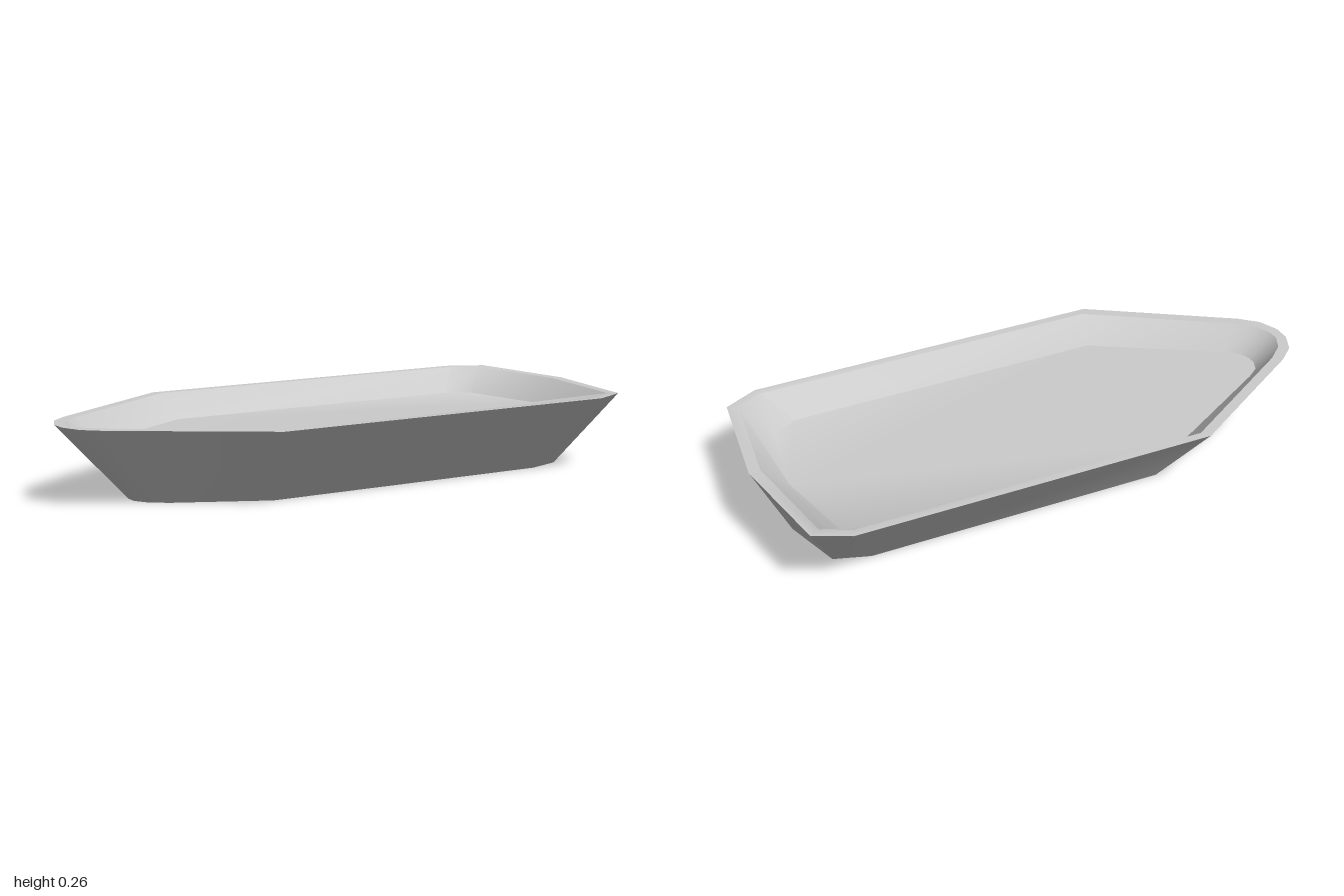
import * as THREE from 'three';
import { toCreasedNormals } from 'three/addons/utils/BufferGeometryUtils.js';

// Half outlines (x, z) run from the blunt end's centre to the narrow nose
const outerBottom = [[0.87, 0], [0.81, 0.21], [0.69, 0.25], [-0.36, 0.25], [-0.66, 0.11], [-0.72, 0.07], [-0.75, 0.02]];
const outerRim = [[1, 0], [0.94, 0.4], [0.82, 0.46], [-0.44, 0.46], [-0.91, 0.155], [-0.97, 0.1], [-1, 0.03]];
const innerRim = [[0.96, 0], [0.905, 0.38], [0.81, 0.43], [-0.42, 0.43], [-0.88, 0.13], [-0.94, 0.075], [-0.965, 0.02]];
const innerFloor = [[0.87, 0], [0.81, 0.3], [0.72, 0.345], [-0.4, 0.345], [-0.82, 0.09], [-0.865, 0.055], [-0.88, 0.015]];

const HEIGHT = 0.265;
const FLOOR = 0.183;

// Mirror a half outline across z = 0 into a closed loop at height y
function loop(half, y) {
  const mirrored = half.slice(1).reverse().map(([x, z]) => [x, -z]);
  return [...half, ...mirrored].map(([x, z]) => [x, y, z]);
}

// Skin successive loops, then cap both ends
function skin(loops) {
  const n = loops[0].length;
  const index = [];
  for (let r = 0; r < loops.length - 1; r++) {
    for (let i = 0; i < n; i++) {
      const a = r * n + i, b = r * n + (i + 1) % n;
      index.push(a, a + n, b, b, a + n, b + n);
    }
  }
  const last = (loops.length - 1) * n;
  for (let i = 1; i < n - 1; i++) {
    index.push(0, i, i + 1);
    index.push(last, last + i + 1, last + i);
  }
  const geometry = new THREE.BufferGeometry();
  geometry.setAttribute('position', new THREE.Float32BufferAttribute(loops.flat(2), 3));
  geometry.setIndex(index);
  return toCreasedNormals(geometry, 0.65);
}

export function createModel() {
  const group = new THREE.Group();
  group.name = 'boatShapedTray';

  // Sloping hull, flat rim and shallow recessed floor
  const tray = new THREE.Mesh(
    skin([
      loop(outerBottom, 0),
      loop(outerRim, HEIGHT),
      loop(innerRim, HEIGHT),
      loop(innerFloor, FLOOR),
    ]),
    new THREE.MeshStandardMaterial({ color: 0xcccccc }),
  );
  tray.name = 'trayBody';
  group.add(tray);
  return group;
}
